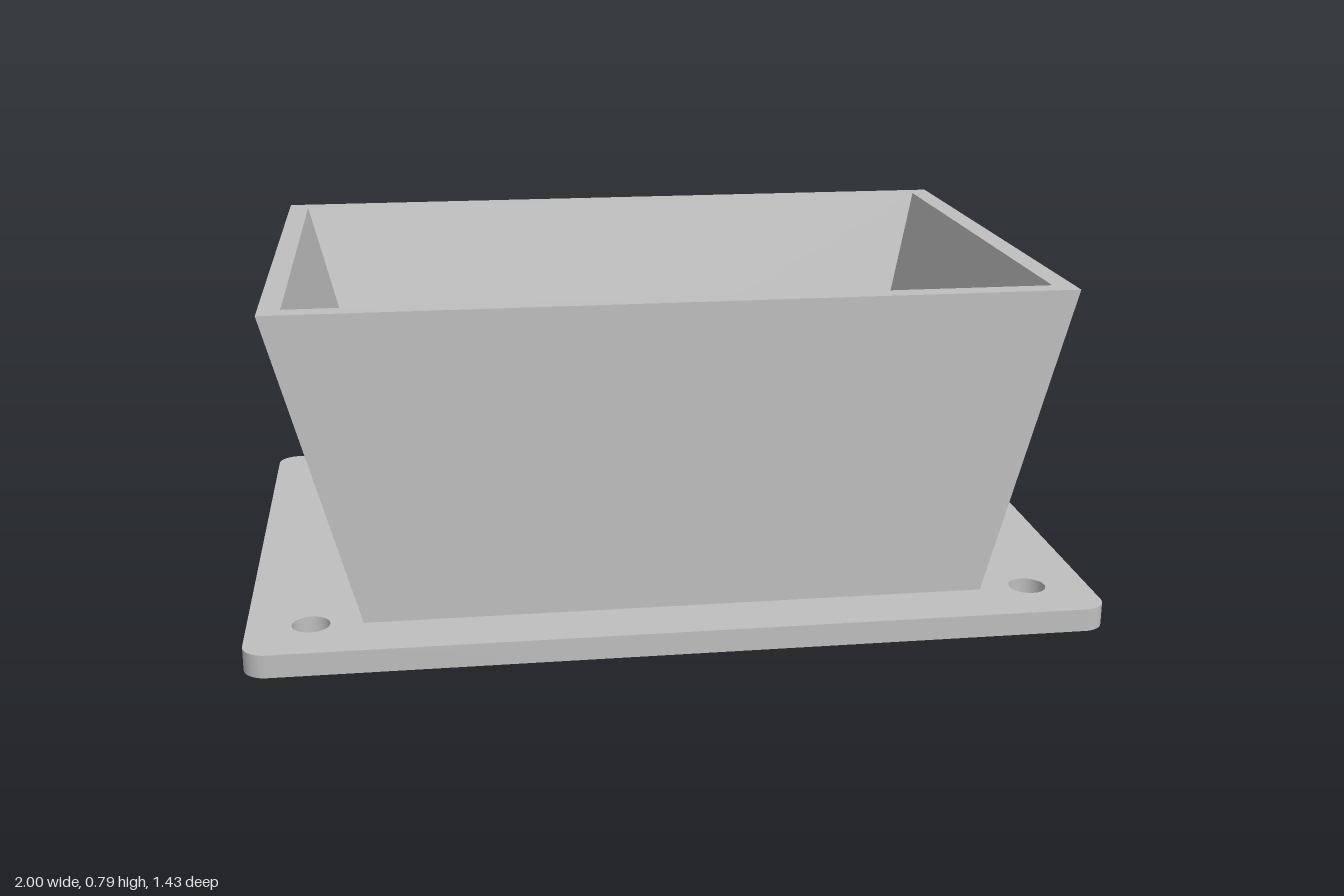
import * as THREE from 'three';
import { toCreasedNormals } from 'three/addons/utils/BufferGeometryUtils.js';

const plateTop = 0.055, rimY = 0.79;

// Four corners of a level rectangle, counter-clockwise seen from above
const ring = (x, back, front, y) => [[-x, y, front], [x, y, front], [x, y, back], [-x, y, back]];

// Flat flange with rounded corners, four bolt holes and the hopper outlet
function flangeGeometry() {
  const back = -0.647, front = 0.714, r = 0.055;
  const s = new THREE.Shape();
  s.absarc(1 - r, front - r, r, 0, Math.PI / 2);
  s.absarc(-1 + r, front - r, r, Math.PI / 2, Math.PI);
  s.absarc(-1 + r, back + r, r, Math.PI, Math.PI * 1.5);
  s.absarc(1 - r, back + r, r, Math.PI * 1.5, Math.PI * 2);
  for (const x of [-0.853, 0.853]) {
    for (const z of [-0.499, 0.56]) {
      s.holes.push(new THREE.Path().absarc(x, z, 0.044, 0, Math.PI * 2, true));
    }
  }
  s.holes.push(new THREE.Path([[-0.665, -0.449], [-0.665, 0.518], [0.665, 0.518], [0.665, -0.449]]
    .map(([x, z]) => new THREE.Vector2(x, z))));
  const g = new THREE.ExtrudeGeometry(s, { depth: plateTop, bevelEnabled: false, curveSegments: 12 });
  g.rotateX(Math.PI / 2).translate(0, plateTop, 0);
  // Widen the outlet's upper edge so that it ends inside the hopper wall
  const p = g.attributes.position;
  for (let i = 0; i < p.count; i++) {
    if (Math.abs(p.getX(i)) < 0.7 && p.getY(i) > plateTop / 2) {
      p.setX(i, Math.sign(p.getX(i)) * 0.705);
      p.setZ(i, p.getZ(i) > 0 ? 0.545 : -0.485);
    }
  }
  return toCreasedNormals(g, 0.6);
}

// Tapered wall: up the outside, across the rim and down the inside
function hopperGeometry() {
  const rings = [
    ring(0.733, -0.514, 0.567, plateTop),
    ring(0.932, -0.714, 0.567, rimY),
    ring(0.881, -0.663, 0.516, rimY),
    ring(0.665, -0.449, 0.518, 0),
  ];
  const pos = [];
  for (let k = 0; k < rings.length - 1; k++) {
    for (let i = 0; i < 4; i++) {
      const j = (i + 1) % 4;
      const a = rings[k][i], b = rings[k][j], c = rings[k + 1][j], d = rings[k + 1][i];
      pos.push(...a, ...b, ...c, ...a, ...c, ...d);
    }
  }
  const g = new THREE.BufferGeometry();
  g.setAttribute('position', new THREE.Float32BufferAttribute(pos, 3));
  g.computeVertexNormals();
  return g;
}

export function createModel() {
  const grey = new THREE.MeshStandardMaterial({ color: 0xbfbfbf });
  grey.name = 'light grey';
  const group = new THREE.Group();
  group.name = 'flangedHopper';
  for (const [name, geometry] of [['mountingFlange', flangeGeometry()], ['hopper', hopperGeometry()]]) {
    const mesh = new THREE.Mesh(geometry, grey);
    mesh.name = name;
    group.add(mesh);
  }
  return group;
}
